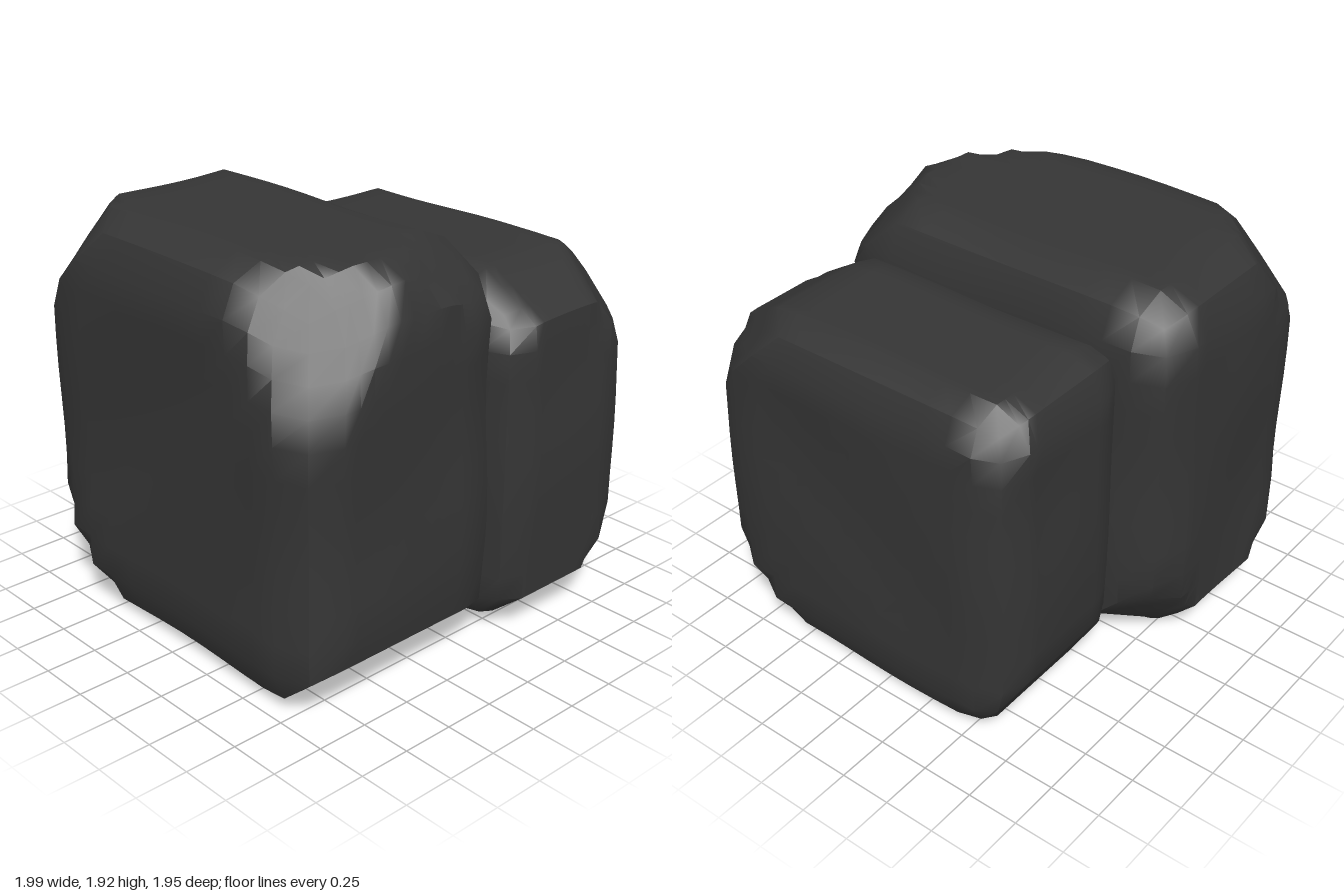
import * as THREE from 'three';
import { mergeVertices, toCreasedNormals } from 'three/addons/utils/BufferGeometryUtils.js';

const V = (x, y, z) => new THREE.Vector3(x, y, z);

// A boulder: a box with bevelled edges, gently uneven faces and planar chips.
// chips: three points of a cutting plane; corners: [signX, signY, signZ, depth cut off the corner]
function boulder(min, max, bevel, chips, corners, seed) {
  const n = 12;
  const centre = min.clone().add(max).multiplyScalar(0.5);
  const half = max.clone().sub(min).multiplyScalar(0.5);
  let geo = new THREE.BoxGeometry(2, 2, 2, n, n, n);
  geo.deleteAttribute('uv');
  geo.deleteAttribute('normal');
  geo = mergeVertices(geo, 1e-4);

  // Chip planes face away from the centre of the rock
  const planes = chips.map((pts) => {
    const plane = new THREE.Plane().setFromCoplanarPoints(...pts);
    return plane.distanceToPoint(centre) > 0 ? plane.negate() : plane;
  });
  for (const [sx, sy, sz, depth] of corners) {
    const normal = V(sx, sy, sz).normalize();
    const tip = V(sx, sy, sz).multiply(half).add(centre).addScaledVector(normal, -depth);
    planes.push(new THREE.Plane().setFromNormalAndCoplanarPoint(normal, tip));
  }

  const pos = geo.attributes.position;
  const p = V(0, 0, 0);
  for (let i = 0; i < pos.count; i++) {
    p.fromBufferAttribute(pos, i);
    const core = V(0, 0, 0);
    const out = V(0, 0, 0);
    for (const a of ['x', 'y', 'z']) {
      const inner = half[a] - bevel;
      const edge = Math.abs(p[a]) > 0.99;
      core[a] = edge ? Math.sign(p[a]) * inner : (p[a] / (1 - 2 / n)) * inner;
      out[a] = edge ? Math.sign(p[a]) : 0;
    }
    out.normalize();
    // Uneven surface, pushed along the outward direction
    const bump = 0.007 * (Math.sin(core.x * 6 + core.y * 4 + seed)
      + Math.sin(core.z * 5 - core.y * 6 + core.x * 3 + seed * 2));
    p.copy(core).addScaledVector(out, bevel + bump).add(centre);
    for (const plane of planes) {
      const d = plane.distanceToPoint(p);
      if (d > 0) p.addScaledVector(plane.normal, -d);
    }
    pos.setXYZ(i, p.x, Math.max(0, p.y), p.z);
  }
  return toCreasedNormals(geo, 0.68);
}

export function createModel() {
  const group = new THREE.Group();
  const stone = new THREE.MeshStandardMaterial({ color: 0x353535 });
  stone.name = 'darkStone';

  const add = (name, geometry) => {
    const mesh = new THREE.Mesh(geometry, stone);
    mesh.name = name;
    group.add(mesh);
  };

  // Tall rock, set further back
  add('largeRock', boulder(V(-0.98, 0, -0.96), V(0.18, 1.91, 0.905), 0.2, [
    [V(-0.55, 1.91, 0.7), V(-1, 1.91, 0.28), V(-0.95, 1.22, 0.86)], // front top corner, outer
    [V(-0.03, 1.91, 0.6), V(0.18, 1.91, 0.5), V(0.18, 1.6, 0.85)], // front top corner, inner
    [V(-0.2, 0, 0), V(0.12, 0.16, 0), V(-0.2, 0, 1)], // underside by the small rock
    [V(0, 0.24, 0.91), V(1, 0.24, 0.91), V(0, 0, 0.62)], // front bottom edge
    [V(0, 0.18, -0.96), V(1, 0.18, -0.96), V(0, 0, -0.75)], // back bottom edge
  ], [
    [-1, 1, -1, 0.31], [1, 1, -1, 0.21],
    [-1, -1, -1, 0.31], [1, -1, -1, 0.32], [-1, -1, 1, 0.16],
  ], 0.6));

  // Shorter rock, set further forward
  add('smallRock', boulder(V(0.12, 0, -0.73), V(0.98, 1.705, 0.965), 0.17, [
    [V(0, 1.51, 0.96), V(1, 1.51, 0.96), V(0, 1.68, 0.68)], // sloping front top edge
    [V(0, 0.3, -0.72), V(1, 0.3, -0.72), V(0, 0, -0.55)], // undercut back edge
    [V(0, 0.19, 0.965), V(1, 0.19, 0.965), V(0, 0, 0.73)], // front bottom edge
  ], [
    [1, 1, 1, 0.28], [-1, 1, 1, 0.23], [1, 1, -1, 0.2],
    [1, -1, 1, 0.27], [-1, -1, 1, 0.19], [1, -1, -1, 0.18],
  ], 2.1));

  return group;
}
